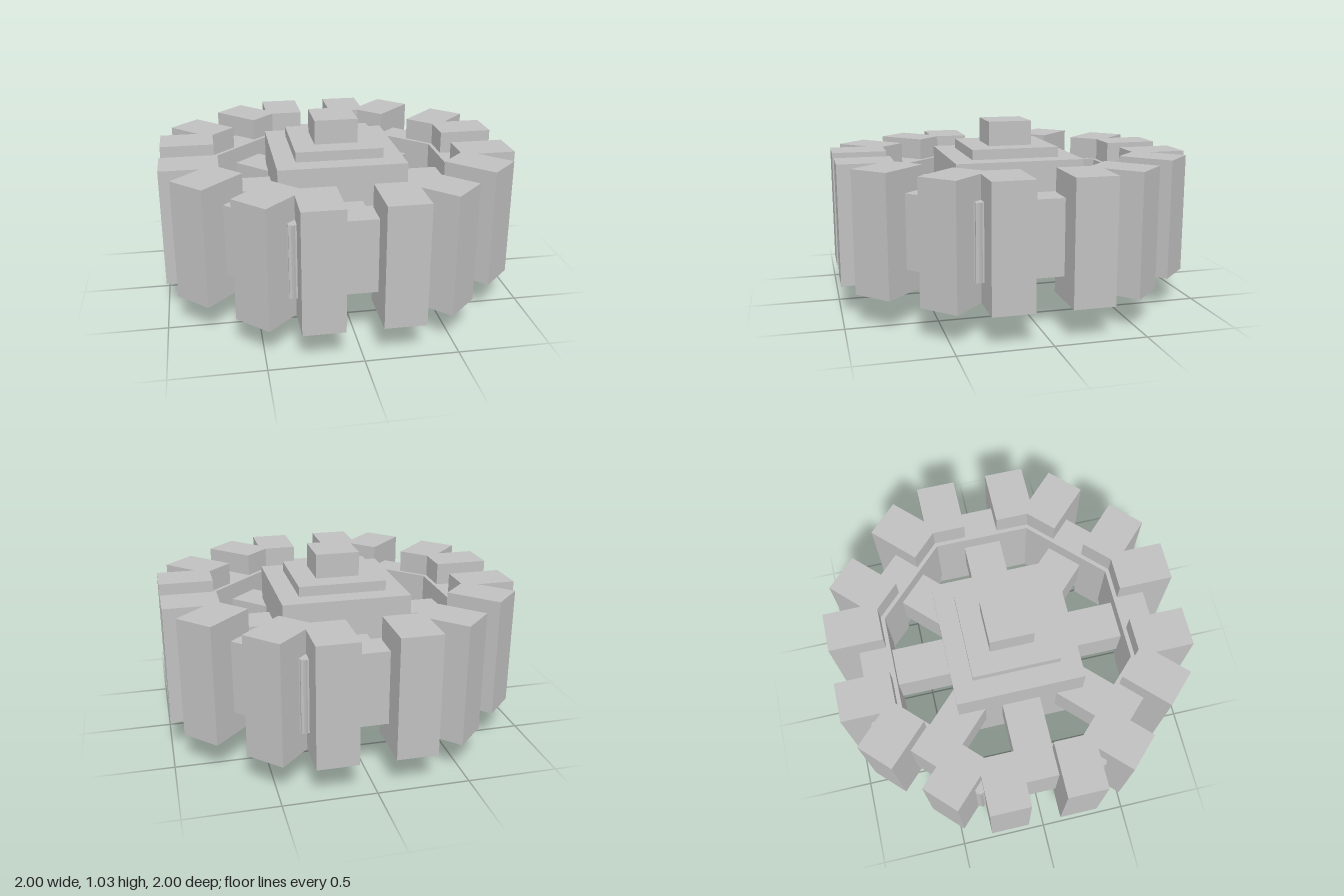
import * as THREE from 'three';

const MID = 0.515; // height of the wheel's middle plane

export function createModel() {
  const model = new THREE.Group();
  model.name = 'gearWheel';
  const grey = new THREE.MeshStandardMaterial({ color: 0xc0c0c0 });
  grey.name = 'plain grey';

  // Box centred on the middle plane
  const addBox = (parent, name, w, h, d, x = 0, z = 0) => {
    const mesh = new THREE.Mesh(new THREE.BoxGeometry(w, h, d), grey);
    mesh.name = name;
    mesh.position.set(x, MID, z);
    parent.add(mesh);
  };

  // Stepped square hub with the axle running through it
  addBox(model, 'hub', 0.73, 0.635, 0.73);
  addBox(model, 'hubCollar', 0.5, 0.75, 0.5);
  addBox(model, 'axle', 0.25, 1.03, 0.25);

  // Eight equal sectors, each a spoke, a rim segment and a pair of teeth
  for (let i = 0; i < 8; i++) {
    const sector = new THREE.Group();
    sector.name = `sector${i + 1}`;
    sector.rotation.y = (i * Math.PI) / 4;
    addBox(sector, 'spoke', 0.22, 0.22, 0.5, 0, 0.45);
    addBox(sector, 'rimSegment', 0.73, 0.41, 0.18, 0, 0.757);
    for (const side of [-1, 1]) {
      addBox(sector, 'tooth', 0.225, 0.67, 0.31, side * 0.21, 0.845);
    }
    model.add(sector);
  }
  return model;
}
